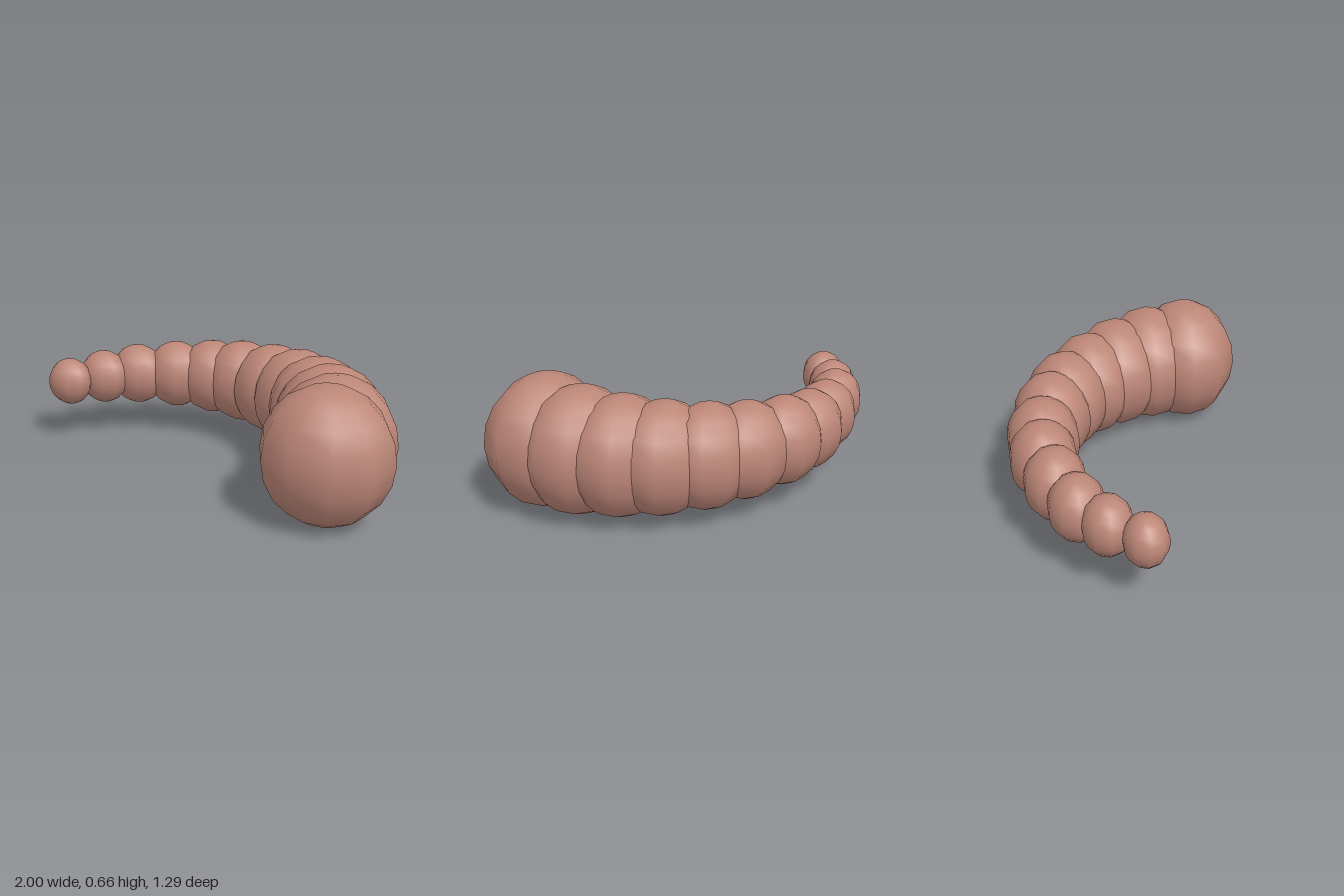
import * as THREE from 'three';

export function createModel() {
  const group = new THREE.Group();
  group.name = 'segmentedGrub';
  const skin = new THREE.MeshStandardMaterial({ color: 0xbc8677 });
  skin.name = 'dusty pink skin';

  // segment centres (x, z) from the tail tip round to the head
  const path = [
    [-0.88, -0.115], [-0.75, -0.26], [-0.6, -0.375], [-0.4, -0.45],
    [-0.2, -0.485], [-0.02, -0.47], [0.18, -0.405], [0.345, -0.31],
    [0.49, -0.17], [0.595, -0.01], [0.67, 0.18], [0.688, 0.385],
  ];
  const last = path.length - 1;

  // overlapping low-poly balls that grow evenly toward the head
  path.forEach(([x, z], i) => {
    const r = THREE.MathUtils.lerp(0.125, 0.328, i / last);
    const segment = new THREE.Mesh(new THREE.SphereGeometry(r, 10, 10), skin);
    segment.name = i === last ? 'head' : i === 0 ? 'tailTip' : `bodySegment${i}`;
    segment.scale.set(0.955, 1, 0.84);
    segment.position.set(x, 0.33, z);
    group.add(segment);
  });
  return group;
}
